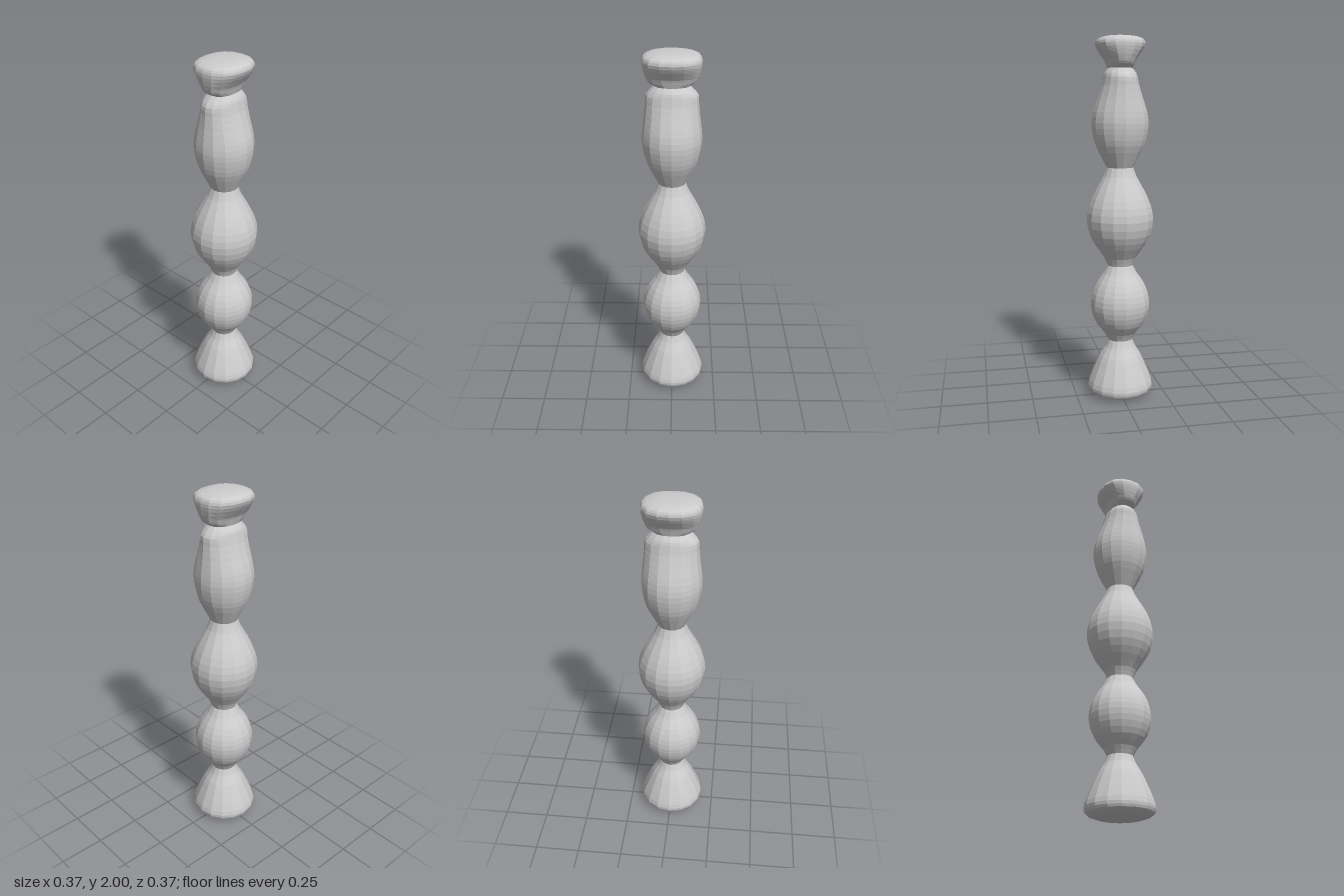
import * as THREE from 'three';

const SIDES = 16;
const material = new THREE.MeshStandardMaterial({ color: 0xcccccc, flatShading: true });

// Each part is a list of rings [height, half width in x, half depth in z], bottom to top.
const parts = {
  base: [
    [0.005, 0, 0], [0.01, 0.09, 0.09], [0.025, 0.15, 0.15], [0.042, 0.177, 0.177], [0.07, 0.183, 0.183],
    [0.12, 0.168, 0.168], [0.18, 0.143, 0.143], [0.24, 0.115, 0.115], [0.29, 0.084, 0.084], [0.33, 0.068, 0.068],
  ],
  lowerBulb: [
    [0.33, 0.068, 0.068], [0.37, 0.09, 0.09], [0.42, 0.13, 0.13], [0.48, 0.157, 0.157], [0.54, 0.166, 0.166],
    [0.6, 0.157, 0.157], [0.66, 0.13, 0.13], [0.71, 0.095, 0.095], [0.757, 0.07, 0.07],
  ],
  middleBulb: [
    [0.757, 0.07, 0.07], [0.8, 0.088, 0.088], [0.86, 0.13, 0.13], [0.93, 0.168, 0.168], [1.015, 0.185, 0.185],
    [1.09, 0.173, 0.173], [1.17, 0.138, 0.138], [1.25, 0.093, 0.093], [1.3, 0.074, 0.074],
  ],
  upperBody: [
    [1.3, 0.074, 0.074], [1.35, 0.1, 0.1], [1.42, 0.134, 0.134], [1.48, 0.15, 0.15], [1.54, 0.157, 0.156],
    [1.6, 0.153, 0.148], [1.67, 0.144, 0.125], [1.74, 0.137, 0.102], [1.78, 0.134, 0.093],
    [1.805, 0.115, 0.086], [1.83, 0.09, 0.066],
  ],
  head: [
    [1.83, 0.09, 0.066], [1.85, 0.122, 0.073], [1.875, 0.135, 0.083], [1.92, 0.148, 0.115], [1.955, 0.151, 0.132],
    [1.977, 0.142, 0.125], [1.99, 0.11, 0.1], [1.998, 0.06, 0.055], [2, 0, 0],
  ],
};

// Smooths the rings, turns them on a lathe, then squeezes each ring to its own depth.
function turnedPart(name, rings, squareness = 0) {
  const curve = new THREE.CatmullRomCurve3(rings.map(([y, rx, rz]) => new THREE.Vector3(rx, y, rz)));
  const points = curve.getPoints((rings.length - 1) * 2);
  const geometry = new THREE.LatheGeometry(points.map((p) => new THREE.Vector2(Math.max(p.x, 0), p.y)), SIDES);
  const pos = geometry.attributes.position;
  for (let i = 0; i < pos.count; i++) {
    const ring = points[i % points.length];
    const depth = ring.x > 1e-4 ? ring.z / ring.x : 1;
    const angle = Math.atan2(pos.getX(i), pos.getZ(i));
    const bulge = 1 + squareness * Math.sin(2 * angle) ** 2;
    pos.setX(i, pos.getX(i) * bulge);
    pos.setZ(i, pos.getZ(i) * depth * bulge);
  }
  geometry.computeVertexNormals();
  const mesh = new THREE.Mesh(geometry, material);
  mesh.name = name;
  return mesh;
}

export function createModel() {
  const group = new THREE.Group();
  group.name = 'turnedFigure';
  for (const [name, rings] of Object.entries(parts)) {
    group.add(turnedPart(name, rings, name === 'head' ? 0.06 : 0));
  }
  return group;
}
